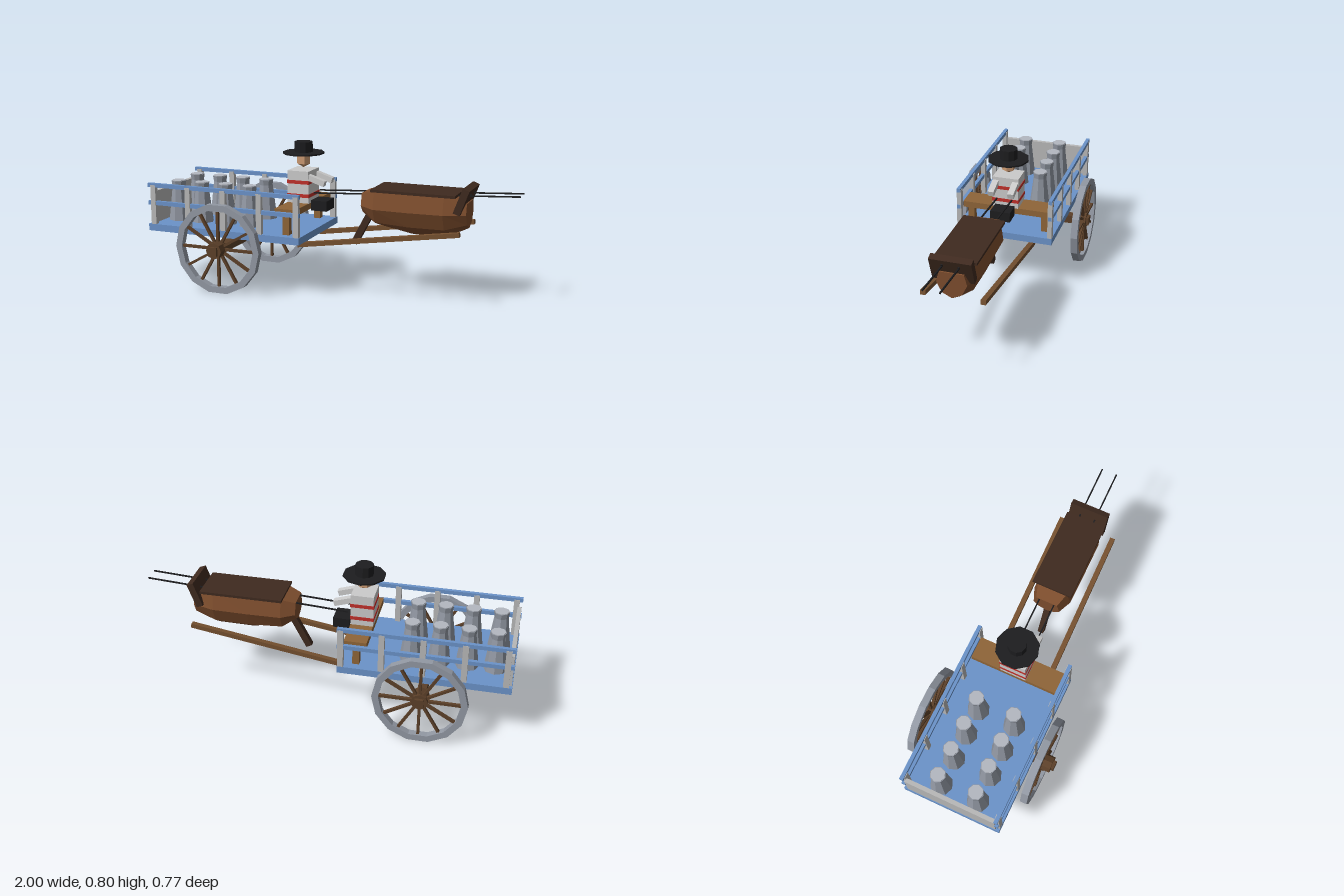
import * as THREE from 'three';

const mat = (color) => new THREE.MeshStandardMaterial({ color, flatShading: true });
const blue = mat(0x6b93c9), grey = mat(0xb8b8b8), steel = mat(0x9298a3), lidGrey = mat(0xb4b8c0);
const wood = mat(0x8f6538), shaftWood = mat(0x75502f), darkWood = mat(0x5c4029);
const hide = mat(0x7d4d2d), mane = mat(0x3f2a1f), black = mat(0x1d1d1f);
const shirt = mat(0xd6d6d2), red = mat(0xc0302a), skin = mat(0xcc9a72);

export function createModel() {
  const model = new THREE.Group();

  const add = (name, geometry, material, x = 0, y = 0, z = 0, parent = model) => {
    const mesh = new THREE.Mesh(geometry, material);
    mesh.name = name;
    mesh.position.set(x, y, z);
    parent.add(mesh);
    return mesh;
  };
  const box = (name, material, w, h, d, x, y, z, parent) =>
    add(name, new THREE.BoxGeometry(w, h, d), material, x, y, z, parent);
  // Square bar running between two points of the side plane
  const bar = (name, material, [x1, y1], [x2, y2], h, d, z, parent) => {
    const m = box(name, material, Math.hypot(x2 - x1, y2 - y1), h, d, (x1 + x2) / 2, (y1 + y2) / 2, z, parent);
    m.rotation.z = Math.atan2(y2 - y1, x2 - x1);
    return m;
  };
  const group = (name) => {
    const g = new THREE.Group();
    g.name = name;
    model.add(g);
    return g;
  };

  // Cart bed, tailboard, posts and rails
  const cart = group('cart');
  box('bed', blue, 0.9, 0.038, 0.542, -0.55, 0.314, 0, cart);
  box('tailboard', grey, 0.022, 0.177, 0.5, -0.985, 0.421, 0, cart);
  for (const s of [-1, 1]) {
    for (let i = 0; i < 5; i++)
      box('post', grey, 0.03, 0.22, 0.025, -0.968 + i * 0.2125, 0.44, s * 0.258, cart);
    for (const y of [0.451, 0.549])
      box('rail', blue, 0.9, 0.022, 0.02, -0.55, y, s * 0.259, cart);
    // Shafts
    bar('shaft', shaftWood, [-0.155, 0.267], [0.725, 0.403], 0.024, 0.027, s * 0.153, cart);
  }

  // Bench
  const bench = group('bench');
  box('benchSeat', wood, 0.12, 0.034, 0.484, -0.19, 0.458, 0, bench);
  for (const s of [-1, 1]) box('benchLeg', wood, 0.036, 0.11, 0.036, -0.192, 0.387, s * 0.21, bench);

  // Axle and wheels
  box('axle', darkWood, 0.047, 0.047, 0.766, -0.55, 0.243, 0);
  const ring = (r) => Array.from({ length: 14 }, (_, i) =>
    new THREE.Vector2(Math.cos(i * Math.PI / 7) * r, Math.sin(i * Math.PI / 7) * r));
  const rimShape = new THREE.Shape(ring(0.247));
  rimShape.holes.push(new THREE.Path(ring(0.212)));
  const rimGeometry = new THREE.ExtrudeGeometry(rimShape, { depth: 0.038, bevelEnabled: false });
  for (const [rimZ, hubZ] of [[0.312, 0.33], [-0.349, -0.331]]) {
    const wheel = group('wheel');
    wheel.position.set(-0.55, 0.2435, 0);
    add('rim', rimGeometry, steel, 0, 0, rimZ - 0.019, wheel);
    const hub = add('hub', new THREE.CylinderGeometry(0.045, 0.045, 0.074, 8), darkWood, 0, 0, hubZ, wheel);
    hub.rotation.x = Math.PI / 2;
    for (let i = 0; i < 12; i++) {
      const a = i * Math.PI / 6;
      bar('spoke', darkWood, [0, 0], [Math.cos(a) * 0.217, Math.sin(a) * 0.217], 0.014, 0.016, rimZ, wheel);
    }
  }

  // Milk cans in two rows
  for (let i = 0; i < 4; i++) for (const s of [-1, 1]) {
    const can = group('milkCan');
    can.position.set(-0.9 + i * 0.146, 0.333, s * 0.105);
    add('canBody', new THREE.CylinderGeometry(0.037, 0.061, 0.19, 8), steel, 0, 0.095, 0, can);
    add('canNeck', new THREE.CylinderGeometry(0.042, 0.037, 0.032, 8), steel, 0, 0.204, 0, can);
    add('canLid', new THREE.CylinderGeometry(0.038, 0.038, 0.004, 8), lidGrey, 0, 0.221, 0, can);
  }

  // Driver
  const driver = group('driver');
  box('torso', shirt, 0.122, 0.174, 0.145, -0.19, 0.561, 0, driver);
  for (const y of [0.515, 0.588]) box('stripe', red, 0.126, 0.019, 0.149, -0.19, y, 0, driver);
  box('legs', black, 0.09, 0.055, 0.11, -0.077, 0.463, 0, driver);
  for (const s of [-1, 1])
    bar('arm', shirt, [-0.16, 0.625], [-0.04, 0.587], 0.03, 0.034, s * 0.055, driver);
  const head = add('head', new THREE.SphereGeometry(0.042, 6, 3), skin, -0.187, 0.7, 0, driver);
  head.scale.x = 1.05;
  add('hatBrim', new THREE.CylinderGeometry(0.113, 0.113, 0.009, 10), black, -0.186, 0.738, 0, driver);
  add('hatCrown', new THREE.CylinderGeometry(0.049, 0.049, 0.057, 10), black, -0.186, 0.77, 0, driver);

  // Draught animal: body lofted along x as [x, half width, top, middle, low, bottom]
  const animal = group('draughtAnimal');
  const stations = [
    [0.17, 0.075, 0.555, 0.49, 0.455, 0.435],
    [0.245, 0.105, 0.578, 0.48, 0.405, 0.38],
    [0.43, 0.107, 0.581, 0.479, 0.395, 0.346],
    [0.62, 0.107, 0.581, 0.481, 0.397, 0.348],
    [0.735, 0.078, 0.542, 0.485, 0.43, 0.405],
  ];
  const points = [], faces = [], n = 7;
  for (const [x, w, top, mid, low, bottom] of stations)
    for (const [z, y] of [[0.8, top], [1, mid], [0.65, low], [0, bottom], [-0.65, low], [-1, mid], [-0.8, top]])
      points.push(x, y, z * w);
  const last = (stations.length - 1) * n;
  for (let i = 0; i < stations.length - 1; i++) for (let j = 0; j < n; j++) {
    const a = i * n + j, b = i * n + (j + 1) % n;
    faces.push(a, b, b + n, a, b + n, a + n);
  }
  for (let j = 1; j < n - 1; j++) faces.push(0, j + 1, j, last, last + j, last + j + 1);
  const bodyGeometry = new THREE.BufferGeometry();
  bodyGeometry.setAttribute('position', new THREE.Float32BufferAttribute(points, 3));
  bodyGeometry.setIndex(faces);
  bodyGeometry.computeVertexNormals();
  const body = add('body', bodyGeometry, hide, 0, 0, 0, animal);
  body.material.side = THREE.DoubleSide;

  box('backCover', mane, 0.45, 0.014, 0.222, 0.46, 0.581, 0, animal);
  bar('tail', mane, [0.11, 0.268], [0.195, 0.43], 0.035, 0.032, 0, animal);

  // Upright face plate with eyes
  const face = new THREE.Group();
  face.name = 'face';
  face.position.set(0.715, 0.557, 0);
  face.rotation.z = -0.36;
  animal.add(face);
  box('facePlate', mane, 0.037, 0.138, 0.214, 0, 0, 0, face);
  for (const s of [-1, 1]) {
    box('eye', black, 0.008, 0.015, 0.008, 0.02, 0.037, s * 0.042, face);
    // Reins
    bar('rein', black, [-0.11, 0.53], [1, 0.596], 0.007, 0.007, s * 0.042);
  }

  return model;
}
